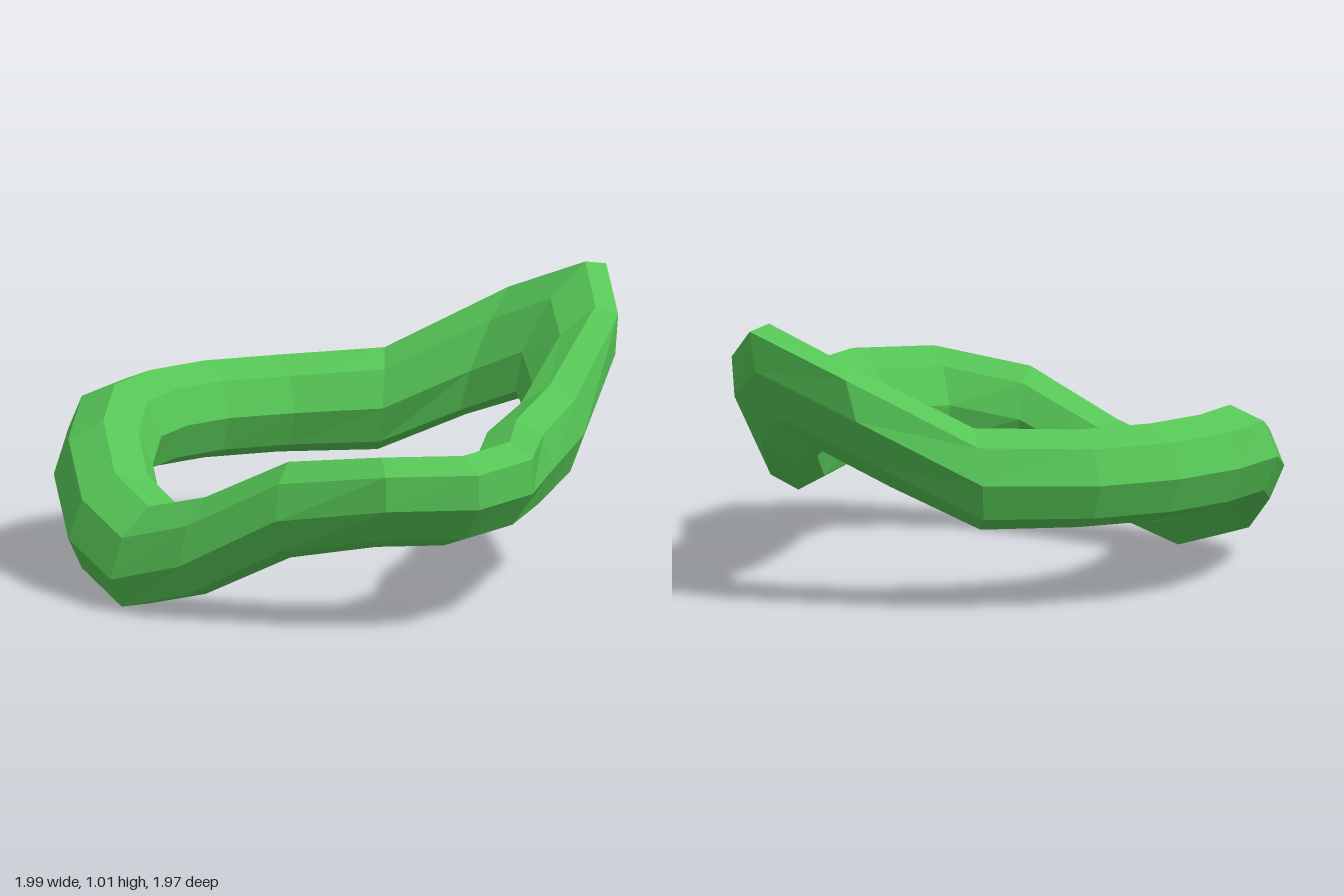
import * as THREE from 'three';

const SIDES = 8;
const RADIUS = 0.175;
const LEVEL = 0.465;

// Stations around the loop: centre x, y, z, outward heading in degrees, half width
const stations = [
  [-0.825, 0.385, -0.08, 180, 0.175],
  [-0.785, 0.46, -0.335, 202, 0.177],
  [-0.66, 0.465, -0.545, 221, 0.175],
  [-0.47, 0.465, -0.7, 239, 0.175],
  [-0.21, 0.465, -0.795, 250, 0.175],
  [0.155, 0.475, -0.83, 268, 0.16],
  [0.53, 0.66, -0.775, 293, 0.157],
  [0.79, 0.78, -0.61, 327, 0.166], // raised corner
  [0.835, 0.67, -0.41, 343, 0.152],
  [0.735, 0.495, -0.105, 354, 0.136],
  [0.62, 0.465, 0.26, 372, 0.143],
  [0.56, 0.465, 0.585, 398, 0.164],
  [0.41, 0.465, 0.795, 420, 0.18], // level corner
  [0.145, 0.465, 0.82, 441, 0.167],
  [-0.17, 0.415, 0.715, 469, 0.153],
  [-0.465, 0.25, 0.555, 485, 0.165],
  [-0.665, 0.178, 0.385, 500, 0.177], // dipped corner
  [-0.785, 0.25, 0.165, 518, 0.177],
];

// Weight fading from 1 at a corner station to nothing three stations away
const fade = (i, corner) => Math.exp(-(((i - corner) / 1.7) ** 4));

// Octagonal section: rolls with height and leans outward at two corners
function section([x, y, z, degrees, halfWidth], i) {
  const heading = THREE.MathUtils.degToRad(degrees);
  const out = new THREE.Vector3(Math.cos(heading), 0, Math.sin(heading));
  const up = new THREE.Vector3(0, RADIUS, 0)
    .addScaledVector(new THREE.Vector3(0.085, 0.055, -0.033), fade(i, 7))
    .addScaledVector(out, 0.07 * fade(i, 12));
  out.multiplyScalar(halfWidth).setY(0.22 * (y - LEVEL));
  return Array.from({ length: SIDES }, (_, j) => {
    const t = (j / SIDES) * Math.PI * 2;
    return new THREE.Vector3(x, y, z)
      .addScaledVector(out, Math.cos(t))
      .addScaledVector(up, Math.sin(t));
  });
}

// Skins the closed chain of sections
function loopGeometry() {
  const index = [];
  for (let i = 0; i < stations.length; i++) {
    const here = i * SIDES;
    const next = ((i + 1) % stations.length) * SIDES;
    for (let j = 0; j < SIDES; j++) {
      const k = (j + 1) % SIDES;
      index.push(here + j, here + k, next + j, here + k, next + k, next + j);
    }
  }
  const geometry = new THREE.BufferGeometry().setFromPoints(stations.flatMap(section));
  geometry.setIndex(index);
  geometry.computeVertexNormals();
  return geometry;
}

export function createModel() {
  const group = new THREE.Group();
  group.name = 'bentRing';
  const material = new THREE.MeshStandardMaterial({ color: 0x55c455, flatShading: true });
  const ring = new THREE.Mesh(loopGeometry(), material);
  ring.name = 'ring';
  group.add(ring);
  return group;
}
